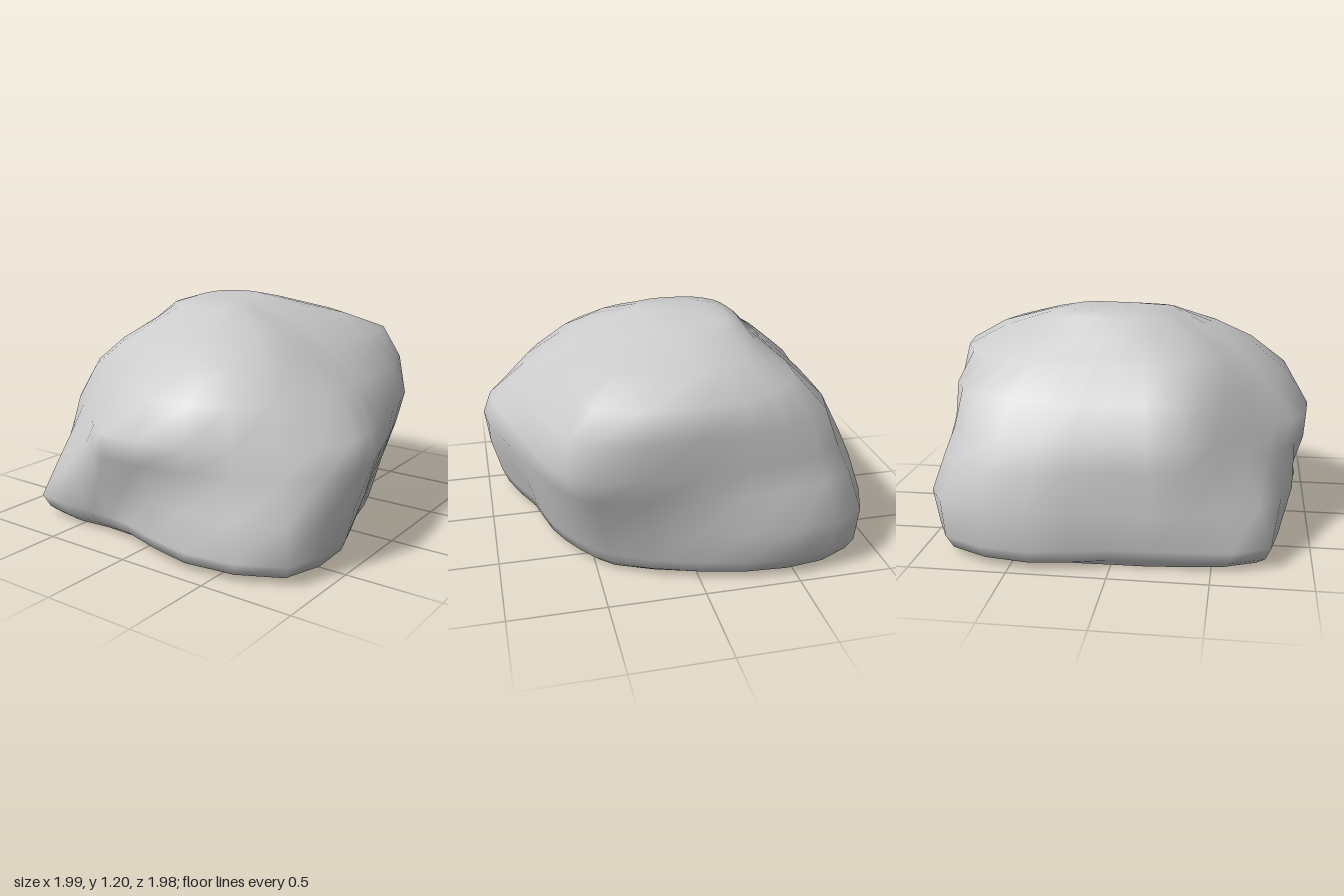
import * as THREE from 'three';

const SIDES = 32;

// Heights of the horizontal cross-sections, and the radius of each one in
// 16 directions (degrees from +x turning towards +z), bunched at the corners.
const degrees = [0, 21, 43, 70, 99, 115, 135, 157.5, 180, 202.5, 225, 244, 270, 302, 317, 337.5];
const heights = [0, 0.11, 0.3, 0.5, 0.63, 0.82, 0.98, 1.08, 1.17];
const radii = [
  [.62, .74, .92, .82, .75, .81, 1.02, .89, .84, .90, 1.00, .86, .78, .76, .72, .66],
  [.78, .98, 1.17, 1.01, .84, .90, 1.12, .97, .91, 1.07, 1.20, 1.07, .89, .83, .80, .77],
  [.85, 1.04, 1.13, .97, .85, .99, 1.03, .97, .90, 1.05, 1.22, 1.11, .91, .90, .87, .82],
  [.92, 1.07, 1.06, .97, .97, .92, .93, .95, .88, .99, 1.14, 1.04, .92, 1.00, .95, .88],
  [.90, 1.02, 1.01, 1.00, .98, .88, .87, .94, .86, .94, 1.07, 1.00, .92, 1.05, .99, .88],
  [.75, .81, .88, .91, .81, .76, .77, .83, .76, .82, .99, .98, .92, 1.03, .94, .80],
  [.52, .57, .67, .70, .64, .61, .64, .63, .58, .62, .80, .89, .91, .95, .75, .60],
  [.37, .40, .47, .49, .45, .44, .47, .47, .47, .49, .58, .66, .73, .68, .51, .41],
  [.13, .14, .17, .23, .25, .27, .32, .36, .37, .41, .48, .46, .41, .29, .20, .15],
];

// Smooth closed outline of one cross-section
function outline(row, y, scale = 1) {
  const points = row.map((r, i) => {
    const a = THREE.MathUtils.degToRad(degrees[i]);
    return new THREE.Vector3(Math.cos(a) * r * scale, y, Math.sin(a) * r * scale);
  });
  const curve = new THREE.CatmullRomCurve3(points, true, 'centripetal');
  return Array.from({ length: SIDES }, (_, i) => curve.getPoint(i / SIDES));
}

function toGeometry(points, index) {
  const geometry = new THREE.BufferGeometry().setFromPoints(points);
  geometry.setIndex(index);
  geometry.computeVertexNormals();
  return geometry;
}

export function createModel() {
  const group = new THREE.Group();
  group.name = 'boulder';
  const material = new THREE.MeshStandardMaterial({ color: 0xcccccc });

  // Cross-sections, with a bevel just above the ground
  const rings = radii.map((row, i) => outline(row, heights[i]));
  rings.splice(1, 0, outline(radii[1], 0.04, 0.965));

  // Gently domed summit
  const peak = new THREE.Vector3(-0.2, 1.2, -0.18);
  rings.push(rings[rings.length - 1].map((p) => p.clone().lerp(peak, 0.4).setY(1.195)));

  // Body surface
  const points = [...rings.flat(), peak];
  const index = [];
  const last = rings.length - 1;
  for (let r = 0; r <= last; r++) {
    for (let i = 0; i < SIDES; i++) {
      const a = r * SIDES + i;
      const b = r * SIDES + ((i + 1) % SIDES);
      if (r === last) index.push(a, points.length - 1, b);
      else index.push(a, a + SIDES, b, b, a + SIDES, b + SIDES);
    }
  }
  const body = new THREE.Mesh(toGeometry(points, index), material);
  body.name = 'rockBody';

  // Flat underside with its own sharp edge
  const baseIndex = [];
  for (let i = 0; i < SIDES; i++) baseIndex.push(SIDES, i, (i + 1) % SIDES);
  const base = new THREE.Mesh(toGeometry([...rings[0], new THREE.Vector3()], baseIndex), material);
  base.name = 'flatBase';

  group.add(body, base);
  return group;
}
